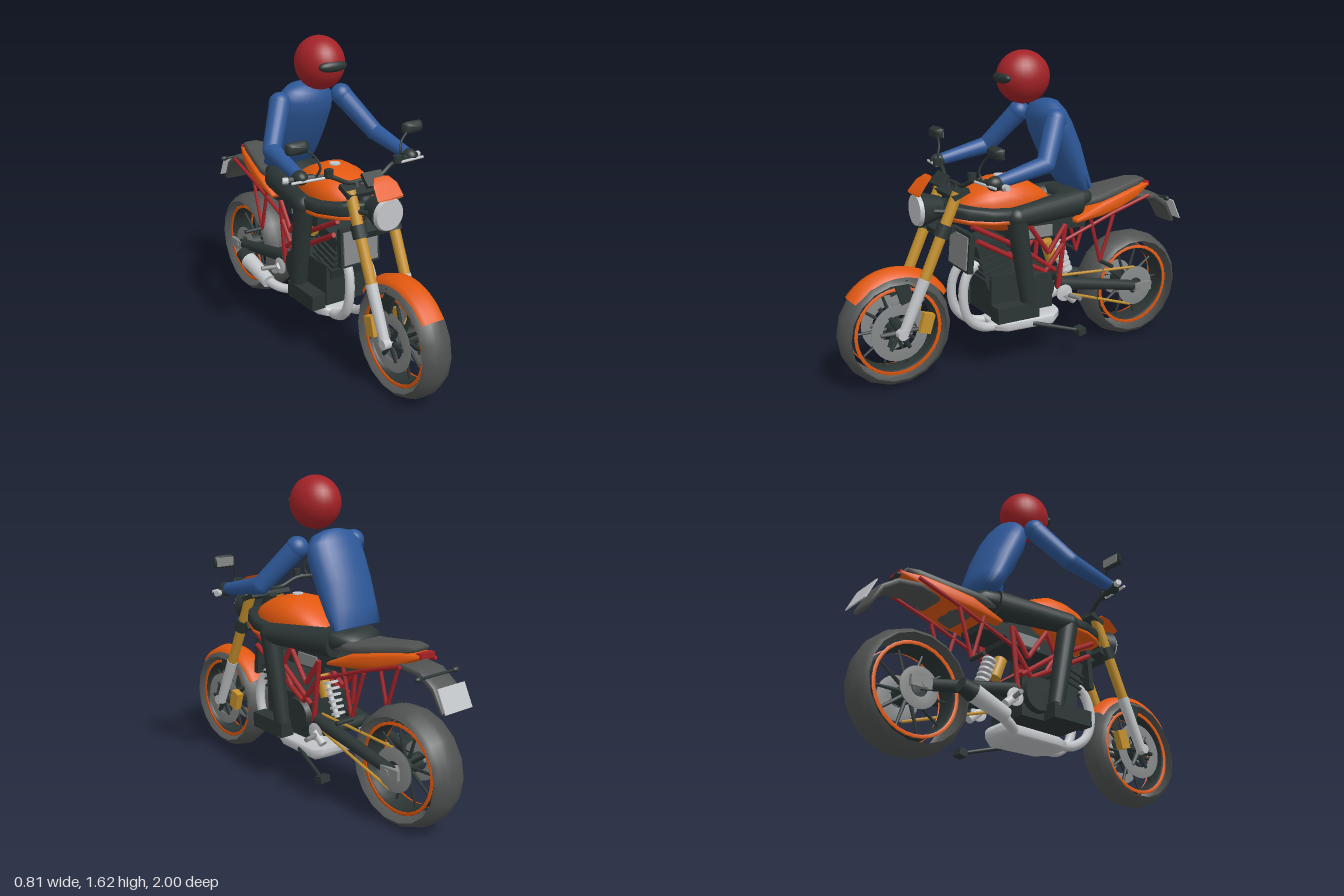
import * as THREE from 'three';

const paint = (name, color, side = THREE.FrontSide) => {
  const m = new THREE.MeshStandardMaterial({ color, side });
  m.name = name;
  return m;
};
const V = (x, y, z) => new THREE.Vector3(x, y, z);

export function createModel() {
  const D = THREE.DoubleSide;
  const dark = paint('black', 0x2b3434, D), rubber = paint('rubber', 0x505252, D);
  const orange = paint('orange', 0xe2580e, D), red = paint('red', 0xa32227);
  const blue = paint('blue', 0x2d5797), gold = paint('gold', 0xc4902c);
  const silver = paint('silver', 0xc2c5c8, D), grey = paint('grey', 0x858888);
  const model = new THREE.Group();
  model.name = 'motorcycleAndRider';

  const add = (name, geo, mat) => {
    const m = new THREE.Mesh(geo, mat);
    m.name = name;
    model.add(m);
    return m;
  };
  const box = (name, mat, size, at, tilt = 0) => {
    const m = add(name, new THREE.BoxGeometry(...size), mat);
    m.position.set(...at);
    m.rotation.x = tilt;
    return m;
  };
  const ball = (name, mat, at, rx, ry = rx, rz = rx) => {
    const m = add(name, new THREE.SphereGeometry(1, 28, 18), mat);
    m.position.set(...at);
    m.scale.set(rx, ry, rz);
    return m;
  };
  // round bar between two points
  const rod = (name, mat, a, b, r0, r1 = r0, sides = 12) => {
    const p = V(...a), q = V(...b), d = q.clone().sub(p);
    const m = add(name, new THREE.CylinderGeometry(r1, r0, d.length(), sides), mat);
    m.position.copy(p).add(q).multiplyScalar(0.5);
    m.quaternion.setFromUnitVectors(V(0, 1, 0), d.normalize());
    return m;
  };
  const pipe = (name, mat, pts, r) => add(name, new THREE.TubeGeometry(
    new THREE.CatmullRomCurve3(pts.map(p => V(...p))), pts.length * 6, r, 8), mat);
  // skin over sections [y, z, halfWidth, dy, dz]; pow < 1 squares the section off
  const loft = (name, mat, rows, pow = 1) => {
    const n = 28, pos = [], idx = [], f = c => Math.sign(c) * Math.abs(c) ** pow;
    for (const [y, z, w, dy, dz = 0] of rows) for (let j = 0; j < n; j++) {
      const a = j / n * Math.PI * 2, s = f(Math.sin(a));
      pos.push(w * f(Math.cos(a)), y + dy * s, z + dz * s);
    }
    for (let i = 0; i < rows.length - 1; i++) for (let j = 0; j < n; j++) {
      const a = i * n + j, b = i * n + (j + 1) % n;
      idx.push(a, b, b + n, a, b + n, a + n);
    }
    const last = (rows.length - 1) * n;
    for (let j = 1; j < n - 1; j++) idx.push(0, j + 1, j, last, last + j, last + j + 1);
    const g = new THREE.BufferGeometry();
    g.setAttribute('position', new THREE.Float32BufferAttribute(pos, 3));
    g.setIndex(idx);
    g.computeVertexNormals();
    return add(name, g, mat);
  };
  // profile [radius, x] swept round the x axis; angle 0 is forward, 90 degrees up
  const hoop = (name, mat, y, z, pts, seg, from = 0, to = 360) => {
    const rad = Math.PI / 180;
    const g = new THREE.LatheGeometry(pts.map(p => new THREE.Vector2(...p)), seg, from * rad, (to - from) * rad);
    const m = add(name, g.rotateZ(Math.PI / 2), mat);
    m.position.set(0, y, z);
    return m;
  };
  // flat ring or disc standing across the x axis
  const disc = (name, mat, x, y, z, r, t, hole = 0) => hoop(name, mat, y, z,
    [[hole, -x - t], [r, -x - t], [r, -x + t], [hole, -x + t], [hole, -x - t]], 32);
  const both = fn => [1, -1].forEach(fn);

  // wheels: open tread, rim, painted rings and spokes
  const wheel = (name, y, z, R, w) => {
    hoop(name + 'Tyre', rubber, y, z, [[R - 0.042, -w], [R - 0.02, -w * 0.8], [R - 0.004, -w * 0.35],
      [R, 0], [R - 0.004, w * 0.35], [R - 0.02, w * 0.8], [R - 0.042, w]], 18);
    hoop(name + 'Rim', dark, y, z, [[0.228, -w * 0.7], [0.205, -w * 0.5], [0.205, w * 0.5], [0.228, w * 0.7]], 36);
    both(s => disc(name + 'RimRing', orange, s * w * 0.68, y, z, 0.227, 0.003, 0.211));
    rod(name + 'Hub', dark, [-0.07, y, z], [0.07, y, z], 0.045);
    for (let i = 0; i < 10; i++) {
      const a = i / 10 * Math.PI * 2, c = Math.cos(a), s = Math.sin(a);
      rod(name + 'Spoke', dark, [0, y + s * 0.04, z + c * 0.04], [0, y + s * 0.207, z + c * 0.207], 0.011, 0.006, 6);
    }
  };
  wheel('front', 0.3, 0.71, 0.292, 0.085);
  wheel('rear', 0.31, -0.69, 0.3, 0.1);
  both(s => {
    disc('frontBrakeDisc', grey, s * 0.072, 0.3, 0.71, 0.148, 0.003, 0.09);
    for (let i = 0; i < 6; i++) {
      const a = i * Math.PI / 3;
      rod('discCarrier', dark, [s * 0.072, 0.3, 0.71],
        [s * 0.072, 0.3 + Math.sin(a) * 0.1, 0.71 + Math.cos(a) * 0.1], 0.016, 0.012, 6);
    }
    box('brakeCaliper', gold, [0.04, 0.1, 0.06], [s * 0.085, 0.33, 0.575], -0.3);
  });
  hoop('frontFender', orange, 0.3, 0.7, [[0.275, -0.065], [0.3, -0.052], [0.314, 0], [0.3, 0.052], [0.275, 0.065]], 20, 38, 147);

  // fork legs, yokes and fender brackets
  both(s => {
    rod('forkTube', gold, [s * 0.1, 0.97, 0.4], [s * 0.1, 0.54, 0.592], 0.028, 0.027, 16);
    rod('forkLower', silver, [s * 0.1, 0.56, 0.583], [s * 0.1, 0.29, 0.705], 0.03, 0.026, 16);
    rod('axleCap', silver, [s * 0.07, 0.3, 0.71], [s * 0.125, 0.3, 0.71], 0.026);
    box('fenderBracket', dark, [0.012, 0.11, 0.07], [s * 0.07, 0.5, 0.68], 0.3);
    rod('forkClamp', dark, [s * 0.1, 0.82, 0.467], [s * 0.1, 0.76, 0.494], 0.038);
  });
  box('lowerYoke', dark, [0.22, 0.04, 0.08], [0, 0.785, 0.46], 0.4);
  box('upperYoke', dark, [0.26, 0.025, 0.09], [0, 0.965, 0.39], 0.4);
  rod('steeringHead', dark, [0, 0.76, 0.44], [0, 0.98, 0.35], 0.035);

  // headlight, screen and instruments
  rod('headlightShell', dark, [0, 0.885, 0.45], [0, 0.885, 0.565], 0.055, 0.09, 28);
  rod('headlightLens', silver, [0, 0.885, 0.565], [0, 0.885, 0.585], 0.083, 0.076, 28);
  both(s => rod('headlightBracket', dark, [s * 0.1, 0.88, 0.44], [s * 0.07, 0.885, 0.51], 0.012));
  loft('flyScreen', orange, [[0.97, 0.585, 0.075, 0.008, -0.006], [1.02, 0.545, 0.068, 0.008, -0.006],
    [1.045, 0.512, 0.045, 0.008, -0.006]], 0.5);
  box('instrumentPanel', dark, [0.11, 0.075, 0.02], [0, 1.025, 0.45], -0.8);

  // handlebar, controls and mirrors
  both(s => {
    pipe('handlebar', dark, [[0, 1.0, 0.37], [s * 0.09, 1.0, 0.37], [s * 0.18, 1.04, 0.35], [s * 0.27, 1.045, 0.325], [s * 0.38, 1.04, 0.29]], 0.011);
    rod('grip', dark, [s * 0.26, 1.045, 0.33], [s * 0.375, 1.04, 0.292], 0.018);
    rod('barEnd', silver, [s * 0.375, 1.04, 0.292], [s * 0.4, 1.04, 0.284], 0.016);
    rod('riser', dark, [s * 0.045, 0.96, 0.385], [s * 0.045, 1.0, 0.37], 0.016);
    rod('lever', silver, [s * 0.22, 1.045, 0.365], [s * 0.385, 1.04, 0.34], 0.007);
    rod('reservoir', dark, [s * 0.2, 1.05, 0.37], [s * 0.2, 1.085, 0.37], 0.022);
    pipe('mirrorStem', dark, [[s * 0.25, 1.045, 0.335], [s * 0.235, 1.09, 0.35], [s * 0.25, 1.14, 0.335], [s * 0.3, 1.185, 0.32]], 0.006);
    loft('mirror', dark, [[1.195, 0.295, 0.058, 0.028], [1.195, 0.31, 0.062, 0.033], [1.195, 0.335, 0.045, 0.022]], 0.5).position.x = s * 0.335;
    box('mirrorGlass', grey, [0.1, 0.045, 0.004], [s * 0.335, 1.195, 0.293]);
  });

  // tank with side shrouds
  loft('fuelTank', orange, [[0.87, -0.14, 0.075, 0.02], [0.87, -0.1, 0.11, 0.06], [0.87, -0.03, 0.145, 0.105],
    [0.87, 0.06, 0.168, 0.143], [0.87, 0.15, 0.172, 0.14], [0.87, 0.24, 0.16, 0.115], [0.87, 0.31, 0.125, 0.08], [0.87, 0.36, 0.08, 0.04]], 0.85);
  rod('fuelCap', silver, [0, 1.0, 0.12], [0, 1.017, 0.12], 0.03, 0.028, 20);
  const shroud = [[0.84, -0.12, 0.13], [0.845, 0, 0.17], [0.845, 0.13, 0.212], [0.85, 0.25, 0.2], [0.86, 0.36, 0.15], [0.87, 0.42, 0.1]];
  loft('tankShroud', dark, shroud.map(([y, z, w]) => [y, z, w, 0.04]), 0.5);
  loft('shroudTrim', orange, shroud.slice(2).map(([y, z, w]) => [y - 0.035, z, w * 0.98, 0.017]), 0.5);

  // seat, tail and rear fender
  loft('seat', rubber, [[0.9, -0.76, 0.05, 0.012], [0.89, -0.7, 0.068, 0.028], [0.865, -0.56, 0.098, 0.03],
    [0.845, -0.42, 0.13, 0.028], [0.835, -0.28, 0.13, 0.03], [0.845, -0.12, 0.1, 0.03]], 0.6);
  loft('tailPanel', orange, [[0.872, -0.79, 0.05, 0.01], [0.845, -0.69, 0.09, 0.035], [0.815, -0.57, 0.118, 0.045],
    [0.79, -0.44, 0.142, 0.045], [0.745, -0.27, 0.142, 0.012]], 0.5);
  box('tailLight', red, [0.09, 0.025, 0.03], [0, 0.875, -0.785]);
  loft('rearFender', rubber, [[0.65, -0.955, 0.075, 0.01, -0.008], [0.75, -0.9, 0.08, 0.015, -0.008],
    [0.805, -0.82, 0.082, 0.018, -0.006], [0.82, -0.7, 0.085, 0.018], [0.75, -0.42, 0.1, 0.012]], 0.5);
  box('numberPlate', silver, [0.18, 0.12, 0.006], [0, 0.715, -0.965], 0.45);
  rod('indicatorBar', dark, [-0.13, 0.8, -0.86], [0.13, 0.8, -0.86], 0.007);
  both(s => ball('indicator', dark, [s * 0.125, 0.8, -0.86], 0.022, 0.014, 0.014));

  // engine, airbox and radiator
  const crank = box('crankcase', dark, [0.24, 0.22, 0.36], [0, 0.41, 0.05]);
  crank.geometry.scale(1, 1, 1);
  both(s => rod('engineCover', dark, [s * 0.1, 0.42, -0.04], [s * 0.15, 0.42, -0.04], 0.1, 0.085, 20));
  box('cylinderBlock', dark, [0.2, 0.24, 0.16], [0, 0.58, 0.19], 0.25);
  for (let i = 0; i < 4; i++) box('coolingFin', dark, [0.225, 0.012, 0.18], [0, 0.52 + i * 0.035, 0.175 + i * 0.009], 0.25);
  box('airbox', dark, [0.18, 0.14, 0.3], [0, 0.74, -0.05]);
  box('throttleBodies', grey, [0.2, 0.06, 0.14], [0, 0.71, -0.07]);
  box('battery', dark, [0.18, 0.07, 0.2], [0, 0.735, -0.25]);
  box('radiatorFrame', dark, [0.23, 0.2, 0.03], [0, 0.65, 0.335], -0.08);
  box('radiatorCore', grey, [0.2, 0.17, 0.008], [0, 0.65, 0.353], -0.08);

  // exhaust
  both(s => pipe('exhaustHeader', silver, [[s * 0.05, 0.58, 0.27], [s * 0.06, 0.53, 0.335], [s * 0.07, 0.42, 0.365],
    [s * 0.07, 0.3, 0.335], [s * 0.06, 0.235, 0.25], [s * 0.05, 0.22, 0.12]], 0.025));
  loft('collectorBox', silver, [[0.24, -0.19, 0.09, 0.03], [0.222, -0.14, 0.12, 0.036], [0.222, 0.12, 0.11, 0.034], [0.225, 0.19, 0.08, 0.025]], 0.5);
  pipe('exhaustLink', silver, [[-0.07, 0.225, -0.13], [-0.14, 0.23, -0.22], [-0.18, 0.26, -0.32]], 0.026);
  rod('silencer', silver, [-0.175, 0.25, -0.27], [-0.19, 0.31, -0.47], 0.038, 0.046, 18);
  rod('silencerTip', dark, [-0.19, 0.31, -0.47], [-0.193, 0.33, -0.54], 0.047, 0.036, 18);

  // trellis frame, footrests and swingarm on each side
  const truss = [[0.8, 0.34, 0.66, 0.08], [0.72, 0.31, 0.5, -0.08], [0.66, 0.08, 0.77, 0.02], [0.66, 0.08, 0.56, 0.02],
    [0.77, 0.02, 0.6, -0.1], [0.6, -0.1, 0.74, -0.2], [0.66, 0.08, 0.5, -0.14], [0.74, -0.2, 0.4, -0.16], [0.5, -0.08, 0.64, -0.19]];
  const subframe = [[0.64, -0.18, 0.76, -0.51], [0.76, -0.36, 0.5, -0.43], [0.75, -0.51, 0.5, -0.43], [0.76, -0.51, 0.83, -0.74]];
  both(s => {
    for (const [y0, z0, y1, z1] of truss) rod('frameTube', red, [s * 0.13, y0, z0], [s * 0.13, y1, z1], 0.013, 0.013, 8);
    for (const [y0, z0, y1, z1] of subframe) rod('subframeTube', red, [s * 0.12, y0, z0], [s * 0.12, y1, z1], 0.01, 0.01, 8);
    rod('passengerPeg', dark, [s * 0.12, 0.5, -0.435], [s * 0.225, 0.5, -0.435], 0.011);
    rod('riderPeg', grey, [s * 0.13, 0.36, -0.2], [s * 0.24, 0.36, -0.23], 0.012);
    disc('pegPlate', silver, s * 0.145, 0.37, -0.19, 0.045, 0.006);
    rod('pegBracket', silver, [s * 0.145, 0.37, -0.19], [s * 0.145, 0.32, -0.25], 0.022);
    rod('swingarm', dark, [s * 0.11, 0.42, -0.17], [s * 0.115, 0.315, -0.7], 0.036, 0.028);
    box('axlePlate', grey, [0.02, 0.05, 0.11], [s * 0.135, 0.315, -0.71]);
  });
  rod('swingarmBridge', dark, [-0.12, 0.4, -0.27], [0.12, 0.4, -0.27], 0.035);
  rod('rearAxle', grey, [-0.15, 0.31, -0.69], [0.15, 0.31, -0.69], 0.02);

  // final drive, rear brake and shock
  disc('rearSprocket', grey, 0.09, 0.31, -0.69, 0.11, 0.005, 0.045);
  disc('rearBrakeDisc', grey, -0.09, 0.31, -0.69, 0.1, 0.004, 0.045);
  rod('chainTop', gold, [0.09, 0.45, -0.18], [0.09, 0.42, -0.68], 0.008, 0.008, 6);
  rod('chainBottom', gold, [0.09, 0.36, -0.18], [0.09, 0.205, -0.66], 0.008, 0.008, 6);
  rod('shockBody', gold, [0.05, 0.64, -0.13], [0.05, 0.53, -0.17], 0.033);
  rod('shockRod', silver, [0.05, 0.6, -0.17], [0.05, 0.44, -0.25], 0.014);
  for (let i = 0; i < 6; i++) {
    const y = 0.62 - i * 0.03, z = -0.2 - i * 0.011;
    rod('springCoil', silver, [0.05, y, z], [0.05, y - 0.011, z - 0.004], 0.036, 0.036, 16);
  }
  rod('sideStand', dark, [0.11, 0.22, -0.02], [0.17, 0.155, -0.26], 0.012, 0.009);
  box('sideStandFoot', dark, [0.06, 0.035, 0.045], [0.17, 0.15, -0.275], 0.2);

  // rider
  ball('helmet', red, [0, 1.5, -0.02], 0.122, 0.134, 0.14);
  ball('visor', dark, [0, 1.5, 0.1], 0.08, 0.03, 0.03);
  loft('torso', blue, [[0.917, -0.333, 0.15, 0.022, -0.054], [1.0, -0.29, 0.157, 0.028, -0.072], [1.12, -0.235, 0.163, 0.034, -0.09],
    [1.24, -0.18, 0.167, 0.034, -0.09], [1.31, -0.15, 0.158, 0.03, -0.08], [1.355, -0.14, 0.115, 0.022, -0.06], [1.375, -0.14, 0.05, 0.01, -0.03]]);
  loft('hips', dark, [[0.85, -0.4, 0.08, 0.03], [0.86, -0.36, 0.13, 0.055], [0.86, -0.28, 0.15, 0.065], [0.86, -0.2, 0.14, 0.05]], 0.8);
  both(s => {
    const shoulder = [s * 0.185, 1.3, -0.1], elbow = [s * 0.31, 1.11, 0.03], hand = [s * 0.322, 1.05, 0.31];
    ball('shoulder', blue, shoulder, 0.056);
    rod('upperArm', blue, shoulder, elbow, 0.054, 0.046, 20);
    ball('elbow', blue, elbow, 0.046);
    rod('forearm', blue, elbow, hand, 0.045, 0.03, 20);
    ball('glove', dark, hand, 0.036, 0.036, 0.045);
    const hip = [s * 0.1, 0.845, -0.28], knee = [s * 0.185, 0.83, 0.12], ankle = [s * 0.172, 0.36, 0.04];
    rod('thigh', dark, hip, knee, 0.072, 0.054, 20);
    ball('knee', dark, knee, 0.054);
    rod('shin', dark, knee, ankle, 0.052, 0.042, 20);
    box('boot', dark, [0.08, 0.08, 0.24], [s * 0.172, 0.335, 0.12]);
  });
  return model;
}
